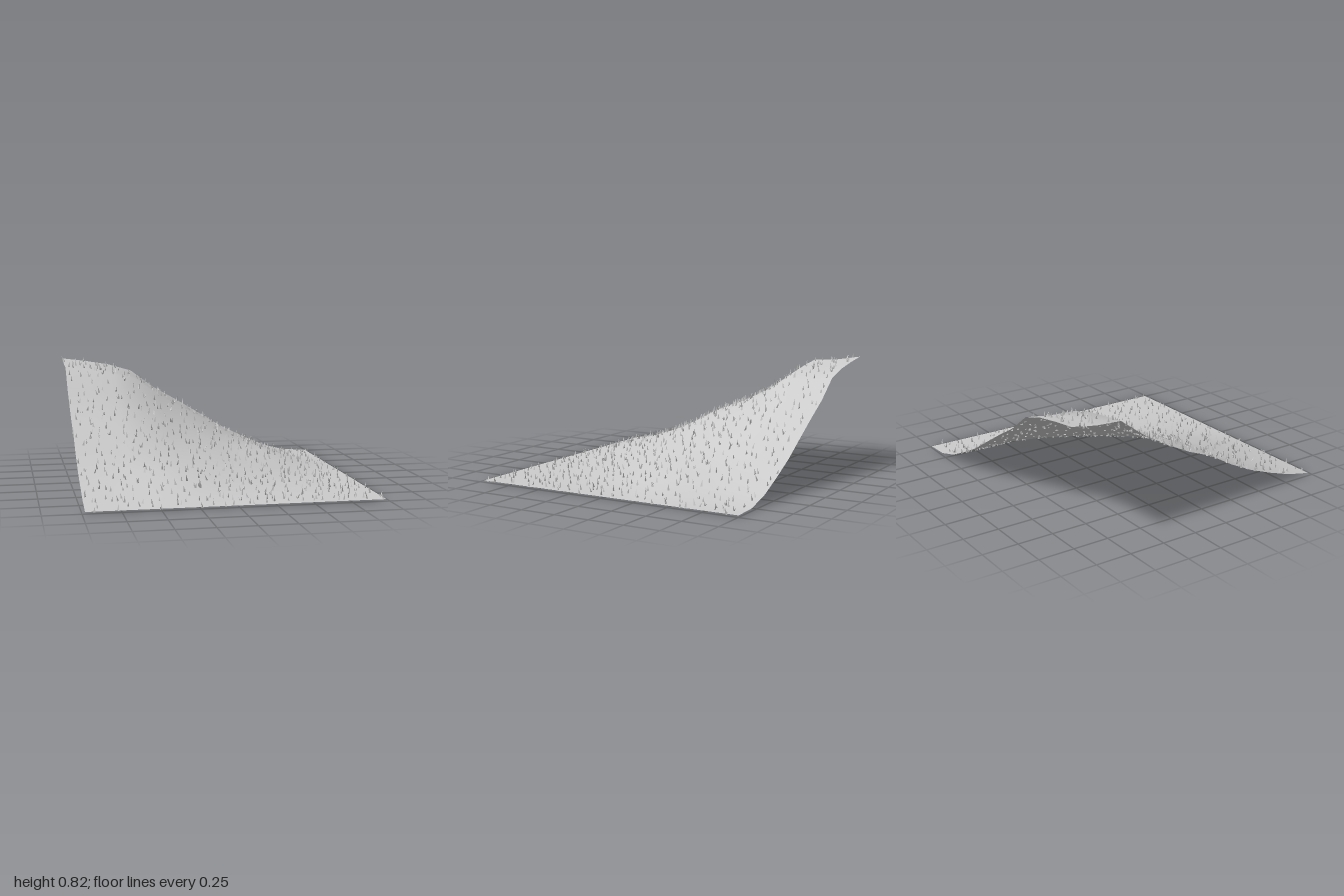
import * as THREE from 'three';
import { mergeGeometries } from 'three/addons/utils/BufferGeometryUtils.js';

const N = 11; // hillside grid segments
const X0 = -0.98, X1 = 0.985, Z0 = -0.995, Z1 = 0.98, BASE = 0.012, PEAK = 0.785;

// heights along the back edge (by x) and the left-hand edge (by z)
const backEdge = [0.785, 0.762, 0.732, 0.68, 0.545, 0.443, 0.335, 0.225, 0.135, 0.055, 0.006, 0];
const sideEdge = [0.785, 0.755, 0.745, 0.61, 0.505, 0.415, 0.345, 0.24, 0.155, 0.09, 0.035, 0];

function sample(list, t) {
  const s = THREE.MathUtils.clamp(t, 0, 1) * N;
  const i = Math.min(Math.floor(s), N - 1);
  return THREE.MathUtils.lerp(list[i], list[i + 1], s - i);
}

const bump = (x, z, cx, cz, r, h) => h * Math.max(0, 1 - ((x - cx) ** 2 + (z - cz) ** 2) / (r * r)) ** 2;

// slope falling from the back corner, with two gentle swells
function ground(x, z) {
  const f = sample(backEdge, (x - X0) / (X1 - X0));
  const g = sample(sideEdge, (z - Z0) / (Z1 - Z0));
  return BASE + (f * g) / PEAK + bump(x, z, 0.55, -0.3, 0.42, 0.05) + bump(x, z, -0.3, 0.55, 0.42, 0.03);
}

function seeded(seed) {
  let s = seed;
  return () => {
    s = (s * 16807) % 2147483647;
    return s / 2147483647;
  };
}

export function createModel() {
  const model = new THREE.Group();
  model.name = 'grassyHillside';
  const material = new THREE.MeshStandardMaterial({ color: 0xcccccc, side: THREE.DoubleSide });

  // thin smooth hillside sheet
  const sheet = new THREE.PlaneGeometry(X1 - X0, Z1 - Z0, N, N);
  sheet.rotateX(-Math.PI / 2);
  sheet.translate((X0 + X1) / 2, 0, (Z0 + Z1) / 2);
  const p = sheet.attributes.position;
  for (let i = 0; i < p.count; i++) p.setY(i, ground(p.getX(i), p.getZ(i)));
  sheet.computeVertexNormals();
  const hillside = new THREE.Mesh(sheet, material);
  hillside.name = 'hillside';
  model.add(hillside);

  // scattered grass blades: slim three-sided spikes, some paired in a V
  const rand = seeded(4711);
  const blades = [];
  const blade = (x, z, height, radius, tilt, turn) => {
    const g = new THREE.ConeGeometry(radius, height, 3, 1, true);
    g.translate(0, height / 2, 0);
    g.rotateY(rand() * Math.PI * 2);
    g.rotateX(tilt);
    g.rotateY(turn);
    g.translate(x, Math.max(0.005, ground(x, z) - 0.006), z);
    blades.push(g);
  };
  const cells = 26;
  for (let i = 0; i < cells; i++) {
    for (let j = 0; j < cells; j++) {
      const x = THREE.MathUtils.lerp(X0, X1, (i + rand()) / cells);
      const z = THREE.MathUtils.lerp(Z0 + 0.01, Z1, (j + rand()) / cells);
      const height = 0.032 + rand() * 0.02;
      const turn = rand() * Math.PI * 2;
      blade(x, z, height, 0.009, rand() * 0.35, turn);
      if (rand() < 0.3) blade(x, z, height * 0.7, 0.007, -0.5, turn);
    }
  }
  const grass = new THREE.Mesh(
    mergeGeometries(blades),
    new THREE.MeshStandardMaterial({ color: 0xcccccc, side: THREE.DoubleSide, flatShading: true })
  );
  grass.name = 'grassBlades';
  model.add(grass);

  return model;
}
